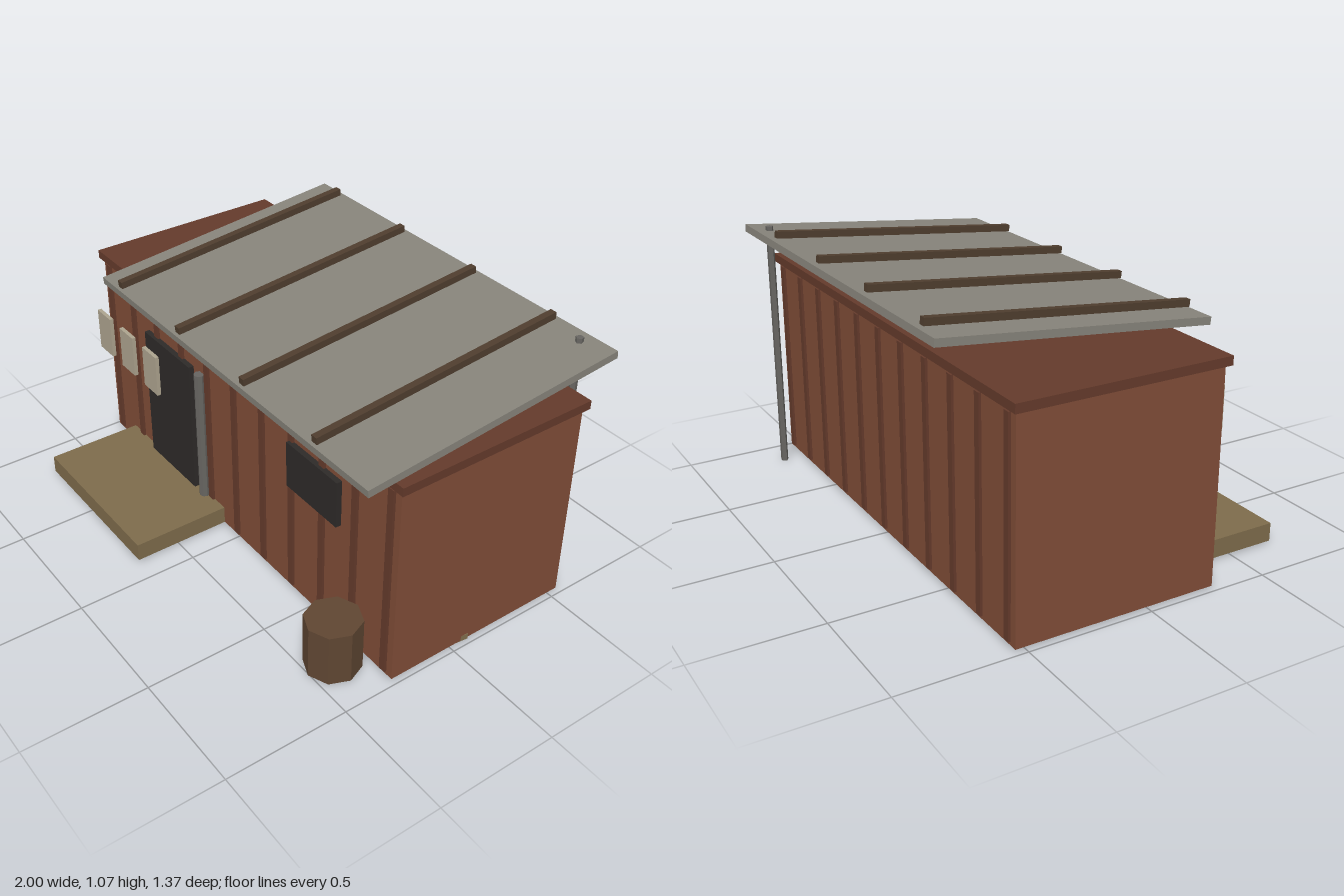
import * as THREE from 'three';

const material = (color) => new THREE.MeshStandardMaterial({ color, flatShading: true });

export function createModel() {
  const shed = new THREE.Group();
  shed.name = 'shed';

  const wall = material(0x7f4c37);
  const trim = material(0x643a2b);
  const sheet = material(0x86837a);
  const timber = material(0x4e3d2e);
  const plank = material(0x7d6b4b);
  const dark = material(0x2d2a28);
  const paper = material(0xaca38e);
  const steel = material(0x666460);
  const cask = material(0x5f4632);

  const add = (name, geometry, mat, x, y, z, parent = shed) => {
    const mesh = new THREE.Mesh(geometry, mat);
    mesh.name = name;
    mesh.position.set(x, y, z);
    parent.add(mesh);
    return mesh;
  };
  // Box given by its limits on each axis
  const block = (name, mat, [x0, x1], [y0, y1], [z0, z1]) =>
    add(name, new THREE.BoxGeometry(x1 - x0, y1 - y0, z1 - z0), mat,
      (x0 + x1) / 2, (y0 + y1) / 2, (z0 + z1) / 2);
  // Upright prism standing at height y0
  const prism = (name, mat, radius, sides, y0, y1, x, z) =>
    add(name, new THREE.CylinderGeometry(radius, radius, y1 - y0, sides), mat, x, (y0 + y1) / 2, z);

  // Container body and its cap
  block('body', wall, [-0.98, 0.98], [0.01, 0.855], [-0.54, 0.28]);
  block('cap', trim, [-1, 1], [0.855, 0.89], [-0.555, 0.295]);

  // Vertical ribs on front and back
  for (let i = 0; i < 11; i++) {
    const x = -0.935 + i * 0.187;
    block('frontRib', trim, [x - 0.015, x + 0.015], [0.025, 0.845], [0.27, 0.29]);
    block('backRib', trim, [x - 0.015, x + 0.015], [0.025, 0.845], [-0.55, -0.53]);
  }

  // Sloping awning with battens
  const awning = new THREE.Group();
  awning.name = 'awning';
  awning.position.set(0.13, 0.967, -0.13);
  awning.rotation.x = 0.1;
  shed.add(awning);
  add('awningSheet', new THREE.BoxGeometry(1.7, 0.03, 1.11), sheet, 0, 0, 0, awning);
  for (let i = 0; i < 4; i++) {
    add('batten', new THREE.BoxGeometry(0.028, 0.028, 1.08), timber, -0.722 + i * 0.426, 0.035, 0.005, awning);
  }
  prism('awningPost', steel, 0.016, 5, 0, 1.05, 0.85, -0.625);

  // Doorway, door pole and window
  block('door', dark, [-0.63, -0.29], [0.08, 0.675], [0.27, 0.303]);
  prism('doorPole', steel, 0.022, 8, 0.08, 0.675, -0.229, 0.294);
  block('window', dark, [0.37, 0.668], [0.51, 0.705], [0.27, 0.303]);

  // Hanging panels in front of the door
  for (const x of [-0.79, -0.608, -0.427]) {
    block('hangingPanel', paper, [x - 0.051, x + 0.051], [0.535, 0.712], [0.386, 0.402]);
  }

  // Front step, barrel and skewed floor pad
  block('step', plank, [-0.823, -0.102], [0.01, 0.085], [0.27, 0.688]);
  prism('barrel', cask, 0.11, 8, 0, 0.222, 0.784, 0.395);
  const pad = block('floorPad', plank, [0.76, 0.97], [0.006, 0.03], [-0.095, 0.135]);
  pad.rotation.y = -0.13;

  return shed;
}
